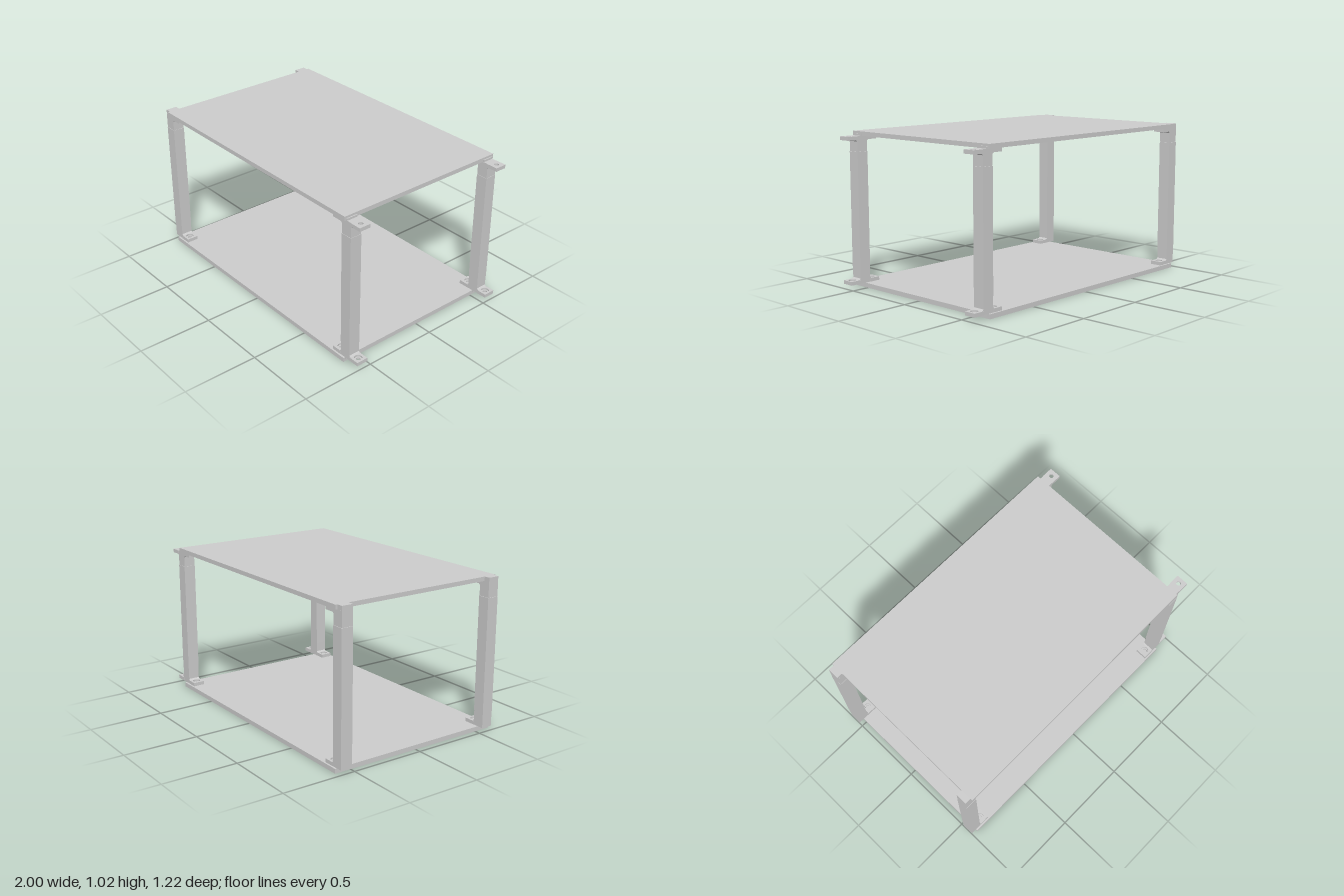
import * as THREE from 'three';

const grey = new THREE.MeshStandardMaterial({ color: 0xcccccc, flatShading: true });
const PANEL = 0.028, LOW = 0.03, HIGH = 0.991; // panel thickness, bracket faces
const DEPTH = 0.08, TAB = 0.075, THICK = 0.024, POST = 0.078;

function add(parent, name, geometry, x = 0, y = 0, z = 0) {
  const mesh = new THREE.Mesh(geometry, grey);
  mesh.name = name;
  mesh.position.set(x, y, z);
  parent.add(mesh);
  return mesh;
}

function box(parent, name, x0, x1, y0, y1, z0, z1) {
  return add(parent, name, new THREE.BoxGeometry(x1 - x0, y1 - y0, z1 - z0),
    (x0 + x1) / 2, (y0 + y1) / 2, (z0 + z1) / 2);
}

// Flat slab with a round hole, lying between y0 and y1
function drilledSlab(parent, x, y0, y1, z, radius) {
  const w = TAB / 2, d = DEPTH / 2;
  const shape = new THREE.Shape([[-w, -d], [w, -d], [w, d], [-w, d]].map(p => new THREE.Vector2(...p)));
  const hole = new THREE.Path();
  hole.absarc(0, 0, radius, 0, Math.PI * 2, true);
  shape.holes.push(hole);
  const geometry = new THREE.ExtrudeGeometry(shape, { depth: y1 - y0, bevelEnabled: false, curveSegments: 12 });
  geometry.rotateX(-Math.PI / 2);
  add(parent, 'screwTab', geometry, x, y0, z);
}

// Screw tab with a counterbore on the side facing the middle of the shelf
function screwTab(parent, x, z, top) {
  const y0 = top ? HIGH - THICK : LOW, y1 = y0 + THICK;
  const mid = (y0 + y1) / 2;
  drilledSlab(parent, x, y0, mid, z, top ? 0.025 : 0.015);
  drilledSlab(parent, x, mid, y1, z, top ? 0.015 : 0.025);
}

// Bracket socket: post stub with small gussets above the tabs
function socket(parent, x, z, top, leftGusset, rightGusset) {
  const w = POST / 2, g = 0.01, h = 0.1;
  const points = [[-w, 0], [w, 0], [w, THICK]];
  if (rightGusset) points.push([w + g, THICK], [w, THICK + g]);
  points.push([w, h], [-w, h]);
  if (leftGusset) points.push([-w, THICK + g], [-w - g, THICK]);
  points.push([-w, THICK]);
  const flip = points.map(([px, py]) => new THREE.Vector2(px, top ? -py : py));
  const geometry = new THREE.ExtrudeGeometry(new THREE.Shape(flip), { depth: DEPTH - 0.003, bevelEnabled: false });
  geometry.translate(0, 0, -(DEPTH - 0.003) / 2);
  add(parent, 'bracketSocket', geometry, x, top ? HIGH : LOW, z);
}

export function createModel() {
  const model = new THREE.Group();
  model.name = 'shelfUnit';

  // Panels
  box(model, 'bottomPanel', -0.96, 0.88, 0, LOW, -0.612, 0.612);
  box(model, 'topPanel', -0.96, 0.88, HIGH, HIGH + PANEL, -0.612, 0.612);

  for (const side of [-1, 1]) {
    const z = side * 0.56;
    for (const x of [-0.961, 0.88]) {
      const outer = x > 0;
      // Post sleeve
      box(model, 'post', x - 0.04, x + 0.04, 0.13, 0.89, z - 0.04, z + 0.04);

      for (const top of [false, true]) {
        const bracket = new THREE.Group();
        bracket.name = top ? 'upperBracket' : 'lowerBracket';
        model.add(bracket);
        socket(bracket, x, z, top, outer, true);
        screwTab(bracket, x + (POST + TAB) / 2, z, top);
        if (outer) {
          screwTab(bracket, x - (POST + TAB) / 2, z, top);
          // Small stop against the panel edge
          const y = top ? HIGH : LOW - 0.014;
          box(bracket, 'panelStop', 0.88, 0.887, y, y + 0.014, z - 0.038, z + 0.038);
        } else if (top) {
          // Lip beside the panel edge
          box(bracket, 'panelLip', -1, -0.96, HIGH, HIGH + PANEL, z - 0.038, z + 0.038);
        }
      }
    }
  }
  return model;
}
